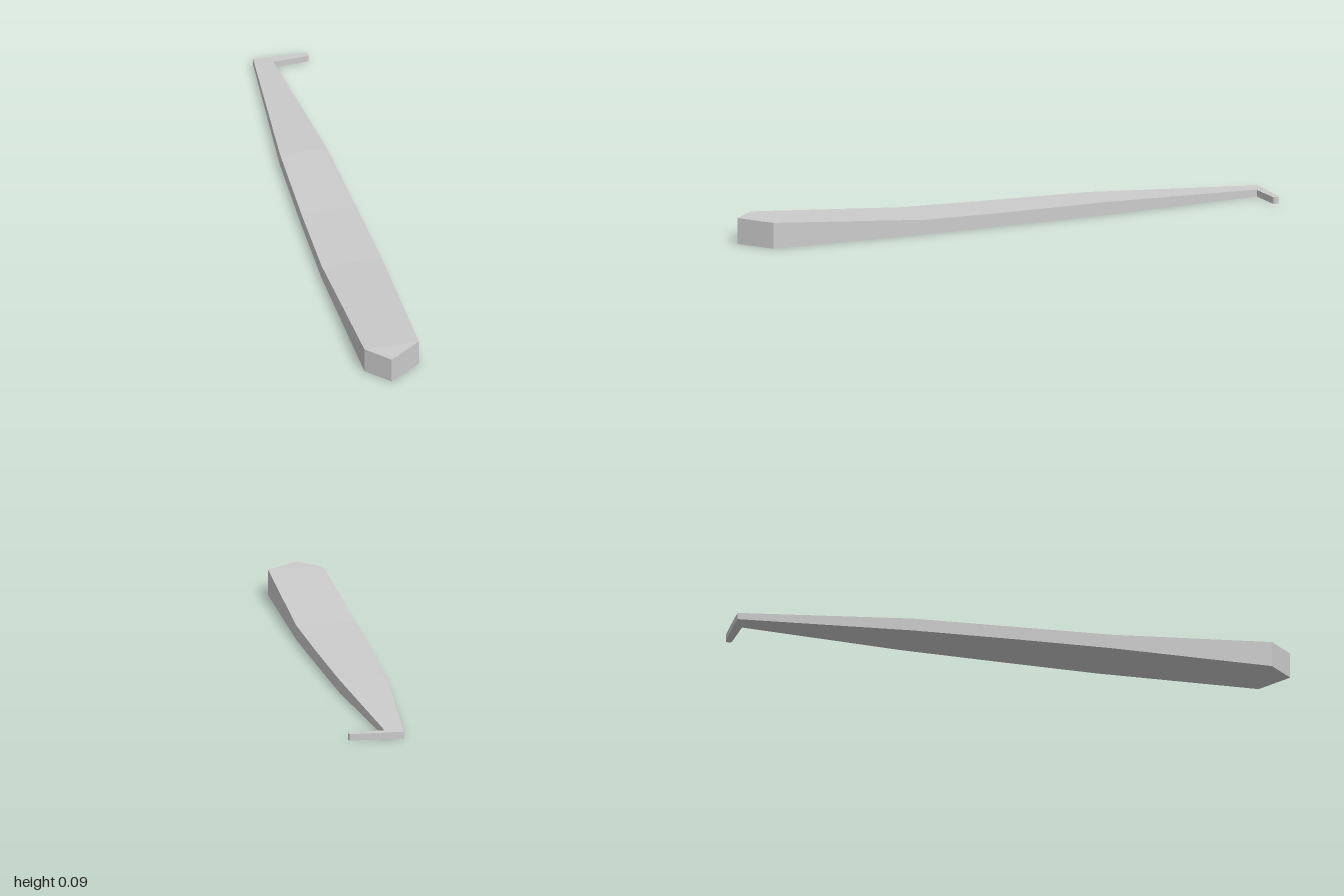
import * as THREE from 'three';

const material = new THREE.MeshStandardMaterial({ color: 0xcccccc, flatShading: true });

// Lofts four-cornered sections [z, xRight, xLeft, height], listed back to front
function loftBlade(sections) {
  const rings = sections.map(([z, a, b, h]) => [[a, 0, z], [b, 0, z], [b, h, z], [a, h, z]]);
  const pos = [];
  const quad = (a, b, c, d) => pos.push(...a, ...b, ...c, ...a, ...c, ...d);
  for (let i = 0; i < rings.length - 1; i++) {
    const r = rings[i], s = rings[i + 1];
    for (let k = 0; k < 4; k++) {
      const n = (k + 1) % 4;
      quad(r[k], r[n], s[n], s[k]);
    }
  }
  // back end cap; the front closes to a vertical edge
  const [p, q, r, s] = rings[0];
  quad(p, s, r, q);
  const geometry = new THREE.BufferGeometry();
  geometry.setAttribute('position', new THREE.Float32BufferAttribute(pos, 3));
  geometry.computeVertexNormals();
  return geometry;
}

export function createModel() {
  const group = new THREE.Group();

  // Long tapering bar, thick and pointed at the front
  const blade = new THREE.Mesh(loftBlade([
    [-1, -0.06, 0.002, 0.024],
    [-0.38, -0.115, 0.054, 0.046],
    [0, -0.13, 0.068, 0.048],
    [0.33, -0.138, 0.078, 0.052],
    [0.915, -0.128, 0.069, 0.093],
    [1, -0.05, -0.05, 0.093],
  ]), material);
  blade.name = 'blade';
  group.add(blade);

  // Thin side hook at the back with a rounded tip
  const outline = new THREE.Shape();
  outline.moveTo(0, 0.968);
  outline.lineTo(0.126, 0.974);
  outline.quadraticCurveTo(0.136, 0.976, 0.136, 0.984);
  outline.quadraticCurveTo(0.136, 0.996, 0.126, 0.997);
  outline.lineTo(0, 1);
  outline.closePath();
  const hookGeometry = new THREE.ExtrudeGeometry(outline, {
    depth: 0.024, bevelEnabled: false, curveSegments: 5,
  });
  hookGeometry.rotateX(-Math.PI / 2);
  const hook = new THREE.Mesh(hookGeometry, material);
  hook.name = 'hook';
  group.add(hook);

  return group;
}
